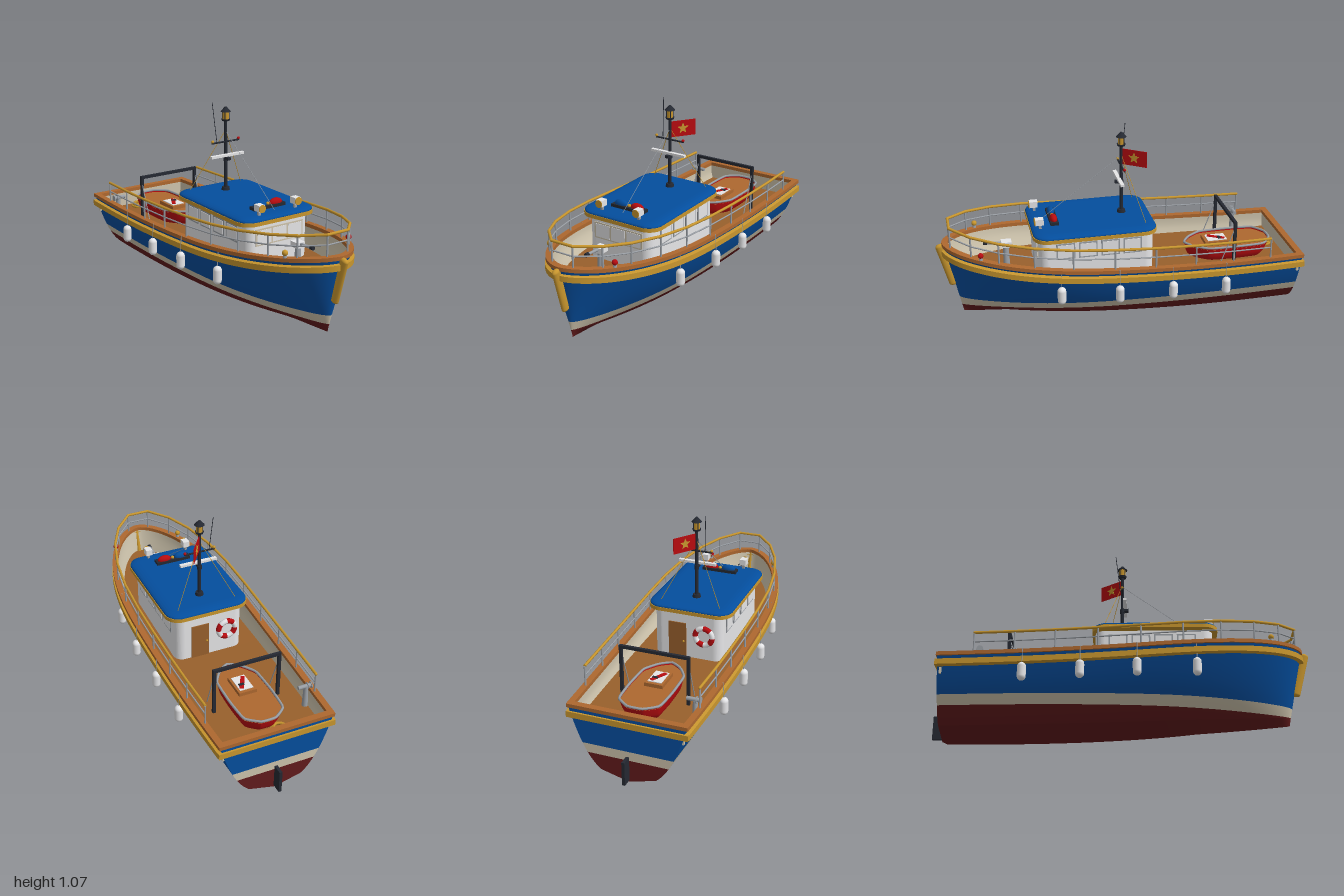
import * as THREE from 'three';
import { ParametricGeometry } from 'three/addons/geometries/ParametricGeometry.js';

const colour = (name, hex, side = THREE.FrontSide) => {
  const m = new THREE.MeshStandardMaterial({ color: hex, side });
  m.name = name;
  return m;
};
const D = THREE.DoubleSide;
const blue = colour('hull blue', 0x044e9e, D), cream = colour('cream', 0xcdc3ac, D);
const maroon = colour('antifouling red', 0x621b1c, D), wood = colour('wood', 0xae682f, D);
const gold = colour('gold', 0xc8962e), white = colour('white', 0xe6e6e8);
const grey = colour('metal grey', 0x9ba0a6), dark = colour('dark', 0x252932);
const red = colour('signal red', 0xb80c10, D), brown = colour('deck brown', 0x98602c, D);

const V = (x, y, z) => new THREE.Vector3(x, y, z);

// Hull lines: s runs from 0 at the transom to 1 at the stem
const STERN = -0.945, LEN = 1.915, CHINE = 0.1;
const sOf = z => (z - STERN) / LEN;
const sheer = s => 0.385 + 0.125 * Math.pow(s, 2.2);
const keel = s => 0.008 + 0.077 * Math.pow(s, 2.5);
const deckY = s => 0.285 + 0.07 * Math.pow(s, 2.2);
const halfBeam = z => {
  if (z < 0.05) return 0.335 - 0.024 * (0.05 - z) ** 2;
  return 0.335 * Math.pow(Math.max(0, 1 - ((z - 0.05) / 0.92) ** 2.6), 0.58);
};
// Straight V bottom up to the chine, rounded sides above it
const hullRaw = (s, y) => {
  const t = THREE.MathUtils.clamp((y - keel(s)) / (sheer(s) - keel(s)), 0, 1);
  const p = 0.33 + 0.3 * s ** 3;
  const f = t < CHINE ? Math.pow(CHINE, p) * t / CHINE : Math.pow(t, p);
  return V(halfBeam(STERN + LEN * s) * f, y, STERN + LEN * s * (1 - 0.047 * (1 - t)));
};
// Point on the hull, moved sideways along the outline's normal
const hullPoint = (s, y, out = 0) => {
  const p = hullRaw(s, y);
  if (!out) return p;
  const a = hullRaw(Math.max(0, s - 0.002), y - sheer(s) + sheer(Math.max(0, s - 0.002)));
  const b = s > 0.9999 ? V(0, 0, a.z) : hullRaw(Math.min(1, s + 0.002), y - sheer(s) + sheer(Math.min(1, s + 0.002)));
  const tx = b.x - a.x, tz = b.z - a.z, l = Math.hypot(tx, tz) || 1;
  p.x = s > 0.9999 ? 0 : Math.max(0, p.x + out * tz / l);
  p.z -= s < 0.3 ? 0 : out * tx / l;
  return p;
};
// Inner face of the bulwark, upright below the gunwale
const innerPoint = (s, y) => {
  const p = hullPoint(s, y, -0.006);
  p.x = Math.min(p.x, hullPoint(s, sheer(s), -0.026).x);
  return p;
};

export function createModel() {
  const boat = new THREE.Group();
  boat.name = 'boat';
  const add = (name, geo, mat, x = 0, y = 0, z = 0, parent = boat) => {
    const m = new THREE.Mesh(geo, mat);
    m.name = name;
    m.position.set(x, y, z);
    parent.add(m);
    return m;
  };
  const box = (name, mat, w, h, d, x, y, z) => add(name, new THREE.BoxGeometry(w, h, d), mat, x, y, z);
  const cyl = (name, mat, r1, r2, h, x, y, z, n = 16) => add(name, new THREE.CylinderGeometry(r1, r2, h, n), mat, x, y, z);
  const ball = (name, mat, r, x, y, z) => add(name, new THREE.SphereGeometry(r, 14, 10), mat, x, y, z);
  const beam = (name, mat, a, b, r) => {
    const m = cyl(name, mat, r, r, a.distanceTo(b), 0, 0, 0, 8);
    m.position.copy(a).add(b).multiplyScalar(0.5);
    m.quaternion.setFromUnitVectors(V(0, 1, 0), b.clone().sub(a).normalize());
  };
  // Mirrored sheet; f(u, s) gives the +x half, u going up faces outwards
  const loft = (name, mat, f, nu) => {
    for (const side of [1, -1]) {
      const geo = new ParametricGeometry((a, b, target) => {
        const [u, v] = side > 0 ? [a, b] : [b, a];
        const p = f(u, 1 - (1 - v) ** 2);
        target.set(p.x * side, p.y, p.z);
      }, side > 0 ? nu : 44, side > 0 ? 44 : nu);
      geo.computeVertexNormals();
      add(name, geo, mat);
    }
  };

  // Hull bands with matching transom panels
  const chineY = s => keel(s) + CHINE * (sheer(s) - keel(s));
  const bands = [
    ['hullBottom', maroon, (u, s) => keel(s) + (chineY(s) - keel(s)) * u, 3],
    ['hullBilge', maroon, (u, s) => chineY(s) + (0.13 - chineY(s)) * u, 5],
    ['waterlineBand', cream, u => 0.13 + 0.05 * u, 2],
    ['topsides', blue, (u, s) => 0.18 + (sheer(s) - 0.18) * u, 9],
  ];
  for (const [name, mat, y, n] of bands) {
    loft(name, mat, (u, s) => hullPoint(s, y(u, s)), n);
    add(name + 'Transom', new ParametricGeometry((u, v, t) => {
      const p = hullPoint(0, y(u, 0));
      t.set(p.x * (2 * v - 1), p.y, p.z);
    }, n, 2), mat);
  }
  // Deck and inner bulwark
  loft('deck', brown, (u, s) => {
    const p = innerPoint(s, deckY(s));
    p.x *= 1 - u;
    return p;
  }, 4);
  loft('bulwarkLining', cream, (u, s) => innerPoint(s, sheer(s) - 0.005 + (deckY(s) + 0.005 - sheer(s)) * u), 4);
  box('sternLining', cream, 0.58, 0.1, 0.012, 0, 0.327, -0.928);

  // Gunwale cap and rub rail, swept round the hull as flat strips
  const sweep = (name, mat, profile) => {
    for (let i = 0; i < profile.length; i++) {
      const [o0, y0] = profile[i], [o1, y1] = profile[(i + 1) % profile.length];
      loft(name, mat, (u, s) => hullPoint(s, sheer(s), o0 + (o1 - o0) * u).setY(sheer(s) + y0 + (y1 - y0) * u), 1);
    }
  };
  sweep('gunwale', wood, [[0.005, -0.018], [0.005, 0.002], [-0.028, 0.002], [-0.028, -0.018]]);
  sweep('rubRail', gold, [[-0.015, -0.074], [0.009, -0.07], [0.009, -0.04], [-0.015, -0.036]]);
  box('sternGunwale', wood, 0.63, 0.02, 0.034, 0, 0.377, -0.934);
  box('sternRubRail', gold, 0.636, 0.032, 0.02, 0, 0.33, -0.945);

  // Stem fender and rudder
  const stem = add('stemPost', new THREE.CapsuleGeometry(0.016, 0.225, 8, 14), gold, 0, 0.378, 0.954);
  stem.rotation.x = 0.26;
  stem.scale.z = 1.6;
  box('rudder', dark, 0.016, 0.13, 0.06, 0, 0.085, -0.97);

  // Guard rails
  const posts = [-0.76, -0.55, -0.34, -0.12, 0.1, 0.32, 0.52, 0.7, 0.84, 0.945];
  const railPath = h => {
    const half = posts.map(z => hullPoint(sOf(z), sheer(sOf(z)), -0.015).add(V(0, h, 0)));
    return [...half, ...half.map(p => V(-p.x, p.y, p.z)).reverse()];
  };
  for (const [name, mat, h, r] of [['topRail', gold, 0.112, 0.0075], ['middleRail', grey, 0.06, 0.004]]) {
    const path = railPath(h);
    for (let i = 1; i < path.length; i++) {
      beam(name, mat, path[i - 1], path[i], r);
      ball(name + 'Joint', mat, r, ...path[i].toArray());
    }
  }
  for (const p of railPath(-0.005)) beam('railPost', grey, p, p.clone().add(V(0, 0.116, 0)), 0.005);

  // Fenders on both sides
  for (const z of [0.385, 0.08, -0.21, -0.505]) for (const side of [1, -1]) {
    const x = side * (halfBeam(z) + (z > 0.3 ? -0.003 : 0.011)), y = 0.28 + 0.035 * z;
    add('fender', new THREE.CapsuleGeometry(0.023, 0.053, 6, 14), white, x, y, z);
    beam('fenderRope', grey, V(x, y + 0.04, z), V(x - side * 0.006, sheer(sOf(z)) + 0.005, z), 0.002);
  }

  // Cabin
  const roundRect = (w, d, r) => {
    const s = new THREE.Shape(), x = w / 2, y = d / 2;
    s.absarc(x - r, y - r, r, 0, Math.PI / 2);
    s.absarc(r - x, y - r, r, Math.PI / 2, Math.PI);
    s.absarc(r - x, r - y, r, Math.PI, Math.PI * 1.5);
    s.absarc(x - r, r - y, r, Math.PI * 1.5, Math.PI * 2);
    return s;
  };
  const slab = (name, mat, w, d, r, y0, y1, z, bevel = {}) => {
    const geo = new THREE.ExtrudeGeometry(roundRect(w, d, r), { depth: y1 - y0, bevelEnabled: false, curveSegments: 8, ...bevel });
    add(name, geo.rotateX(-Math.PI / 2), mat, 0, y0, z);
  };
  slab('cabinWalls', white, 0.39, 0.62, 0.05, 0.27, 0.565, 0.17);
  slab('roofEdge', gold, 0.475, 0.665, 0.08, 0.556, 0.576, 0.175);
  slab('roof', blue, 0.36, 0.55, 0.025, 0.577, 0.579, 0.175,
    { bevelEnabled: true, bevelSize: 0.055, bevelThickness: 0.017, bevelSegments: 5 });
  // Light panes in thin frames
  for (const side of [1, -1]) for (const z of [-0.02, 0.1, 0.22, 0.34]) {
    box('windowFrame', grey, 0.006, 0.09, 0.1, side * 0.196, 0.488, z);
    box('sideWindow', white, 0.008, 0.074, 0.084, side * 0.197, 0.488, z);
  }
  box('frontFrame', cream, 0.3, 0.09, 0.006, 0, 0.485, 0.481);
  for (const x of [-0.097, 0, 0.097]) box('frontWindow', white, 0.087, 0.074, 0.008, x, 0.485, 0.482);
  box('door', brown, 0.1, 0.205, 0.008, 0.057, 0.395, -0.142);
  ball('doorKnob', gold, 0.006, 0.02, 0.39, -0.148);
  // Life ring in red and white sections
  for (let i = 0; i < 8; i++) {
    const ring = add('lifeRing', new THREE.TorusGeometry(0.048, 0.015, 8, 6, Math.PI / 4), i % 2 ? white : red, -0.096, 0.438, -0.15);
    ring.rotation.z = i * Math.PI / 4;
  }

  // Mast, lantern and rigging
  cyl('mast', dark, 0.008, 0.01, 0.39, 0, 0.785, 0);
  cyl('mastFoot', dark, 0.02, 0.024, 0.02, 0, 0.603, 0);
  cyl('mastCollar', dark, 0.013, 0.013, 0.022, 0, 0.77, 0);
  cyl('lanternBase', dark, 0.024, 0.02, 0.01, 0, 0.985, 0);
  cyl('lanternGlass', gold, 0.018, 0.018, 0.045, 0, 1.01, 0, 8);
  for (let i = 0; i < 4; i++) cyl('lanternBar', dark, 0.002, 0.002, 0.045, 0.018 * Math.cos(i * Math.PI / 2 + 0.8), 1.01, 0.018 * Math.sin(i * Math.PI / 2 + 0.8), 6);
  cyl('lanternRoof', dark, 0.01, 0.028, 0.02, 0, 1.04, 0);
  ball('lanternTop', dark, 0.01, 0, 1.047, 0);
  beam('crossbar', dark, V(-0.088, 0.865, 0), V(0.086, 0.865, 0), 0.005);
  ball('crossbarLamp', gold, 0.008, -0.085, 0.874, 0);
  ball('crossbarLamp', red, 0.008, 0.083, 0.873, 0);
  box('radarBracket', dark, 0.02, 0.015, 0.04, 0, 0.775, 0.015);
  box('radarBar', white, 0.21, 0.013, 0.02, 0, 0.793, 0.015);
  beam('aerial', dark, V(-0.051, 0.868, -0.01), V(-0.063, 1.08, -0.035), 0.0018);
  beam('forestay', grey, V(0, 0.925, 0), V(0, 0.595, 0.44), 0.0013);
  for (const side of [1, -1]) beam('shroud', gold, V(0, 0.93, 0), V(side * 0.17, 0.59, -0.1), 0.0015);

  // Flag with star
  const flag = new THREE.Group();
  flag.name = 'flag';
  flag.position.y = 0.92;
  flag.rotation.y = Math.atan2(0.12, 0.085);
  boat.add(flag);
  add('flagCloth', new THREE.BoxGeometry(0.14, 0.088, 0.003), red, 0.077, 0, 0, flag);
  const star = new THREE.Shape(Array.from({ length: 10 }, (_, i) => {
    const r = i % 2 ? 0.014 : 0.032, a = Math.PI / 2 + i * Math.PI / 5;
    return new THREE.Vector2(r * Math.cos(a), r * Math.sin(a));
  }));
  add('flagStar', new THREE.ExtrudeGeometry(star, { depth: 0.007, bevelEnabled: false }), gold, 0.074, 0, -0.0035, flag);

  // Roof lights
  box('lightBarBase', dark, 0.2, 0.018, 0.045, 0, 0.603, 0.38);
  for (const [x, mat] of [[-0.05, blue], [0.05, red]]) ball('beacon', mat, 1, x, 0.615, 0.38).scale.set(0.04, 0.024, 0.02);
  ball('beaconCentre', gold, 0.01, 0, 0.615, 0.38);
  for (const side of [1, -1]) {
    box('spotlightFoot', grey, 0.014, 0.04, 0.014, side * 0.115, 0.605, 0.46);
    box('spotlightBody', white, 0.036, 0.034, 0.045, side * 0.115, 0.636, 0.465);
    cyl('spotlightLens', gold, 0.021, 0.021, 0.004, side * 0.115, 0.636, 0.489).rotation.x = Math.PI / 2;
    // Bow navigation lights
    cyl('navLightBase', grey, 0.009, 0.012, 0.03, side * 0.2, 0.488, 0.785);
    ball('navLight', side > 0 ? red : gold, 0.015, side * 0.2, 0.512, 0.785);
  }

  // Deck monitor on the foredeck
  cyl('monitorStand', grey, 0.014, 0.02, 0.16, 0, 0.39, 0.635);
  box('monitorBody', white, 0.05, 0.03, 0.055, 0, 0.47, 0.632);
  beam('monitorBarrel', grey, V(0, 0.475, 0.65), V(0, 0.482, 0.735), 0.008);
  beam('monitorNozzle', dark, V(0, 0.482, 0.735), V(0, 0.483, 0.755), 0.011);

  // Stern gantry
  for (const side of [1, -1]) {
    box('gantryLeg', dark, 0.016, 0.27, 0.016, side * 0.182, 0.42, -0.595);
    beam('gantryStrut', grey, V(side * 0.182, 0.52, -0.595), V(side * 0.182, 0.29, -0.51), 0.003);
  }
  box('gantryBeam', dark, 0.38, 0.016, 0.016, 0, 0.55, -0.595);

  // Tender on deck
  const halfTender = [[0.04, -0.845], [0.108, -0.79], [0.118, -0.65], [0.112, -0.48], [0.06, -0.4]];
  const outline = new THREE.CatmullRomCurve3([
    ...halfTender.map(([x, z]) => V(x, 0, z)), V(0, 0, -0.36),
    ...halfTender.map(([x, z]) => V(-x, 0, z)).reverse()], true, 'catmullrom', 0.2);
  const tender = new ParametricGeometry((u, v, t) => {
    const p = outline.getPoint(u), k = 0.78 + 0.22 * Math.sqrt(v);
    t.set(p.x * k, 0.287 + 0.083 * v, -0.6 + (p.z + 0.6) * (0.3 + 0.7 * k));
  }, 48, 5);
  tender.computeVertexNormals();
  add('tenderHull', tender, red);
  add('tenderRim', new THREE.TubeGeometry(outline, 60, 0.007, 6, true), grey, 0, 0.372, 0);
  const floor = new THREE.Shape(outline.getPoints(48).map(p => new THREE.Vector2(p.x, -p.z)));
  add('tenderFloor', new THREE.ShapeGeometry(floor).rotateX(-Math.PI / 2), wood, 0, 0.36, 0);
  box('tenderLocker', wood, 0.1, 0.03, 0.145, 0, 0.365, -0.545);
  box('lockerPanel', white, 0.075, 0.006, 0.11, 0, 0.381, -0.545);
  box('lockerStripe', red, 0.022, 0.006, 0.1, 0, 0.384, -0.545).rotation.y = -0.5;
  box('lockerMark', dark, 0.03, 0.006, 0.016, 0.012, 0.386, -0.56);

  // Rope coil and starboard winch
  for (const [r, y] of [[0.042, 0.293], [0.036, 0.303], [0.028, 0.308]])
    add('ropeCoil', new THREE.TorusGeometry(r, 0.007, 6, 20).rotateX(Math.PI / 2), gold, -0.06, y, -0.85);
  cyl('winchPost', grey, 0.012, 0.016, 0.12, -0.27, 0.345, -0.73);
  beam('winchDrum', grey, V(-0.3, 0.41, -0.73), V(-0.225, 0.41, -0.73), 0.011);
  for (const x of [-0.3, -0.28]) beam('winchRim', grey, V(x, 0.41, -0.73), V(x + 0.005, 0.41, -0.73), 0.018);
  return boat;
}
